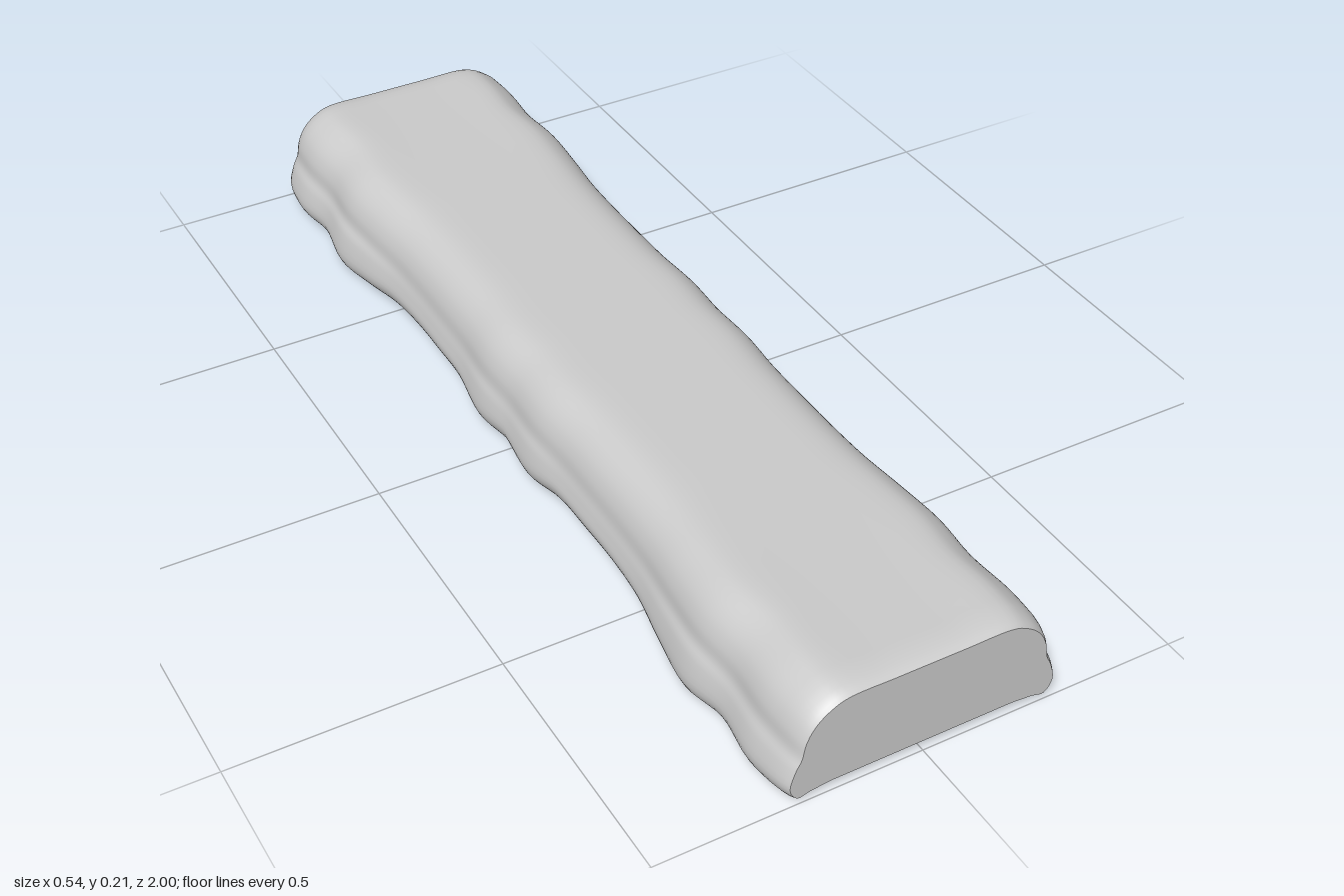
import * as THREE from 'three';

const BASE = 0.025; // height of the flat underside
const material = new THREE.MeshStandardMaterial({ color: 0xcccccc });

// Smooth lookup of values spaced evenly along |z| from 0 to 1
function along(values) {
  const curve = new THREE.SplineCurve(values.map((v, i) => new THREE.Vector2(i, v)));
  return z => curve.getPoint(Math.min(1, Math.abs(z))).y;
}
const lipReach = along([0.246, 0.252, 0.242, 0.24, 0.24, 0.245, 0.26, 0.271, 0.26, 0.27, 0.262]);
const lipHeight = along([0.02, 0.01, 0.024, 0.025, 0.025, 0.02, 0.01, 0.003, 0.014, 0.011, 0.016]);
const crest = along([0, 0, 0, 0, 0, 0, 0.001, 0.002, 0.003, 0.004, 0.002]);

// Cross-section from the right underside edge, over the top, to the left one
function section([z, sx, sy, lift = 0]) {
  const w = lipReach(z), l = lipHeight(z), s = 0.225 + (w - 0.24) * 0.65;
  const half = [
    [0.18, BASE], [w - 0.04, (l + BASE) / 2], [w - 0.015, l], [w, l + 0.027],
    [(w + s) / 2 + 0.003, 0.08], [s + 0.003, 0.105], [s - 0.003, 0.137], [s - 0.018, 0.168],
    [s - 0.045, 0.193], [s - 0.085, 0.206 + crest(z)], [0.07, 0.208],
  ];
  const mirrored = half.map(([x, y]) => [-x, y]).reverse();
  const points = [...half, [0, 0.208], ...mirrored].map(p => new THREE.Vector2(...p));
  return new THREE.SplineCurve(points).getPoints(88)
    .map(p => new THREE.Vector3(p.x * sx, BASE + (p.y - BASE) * sy + lift, z));
}

// Skin between consecutive cross-sections
function loft(rings) {
  const n = rings[0].length, index = [];
  for (let i = 0; i < rings.length - 1; i++) {
    for (let j = 0; j < n - 1; j++) {
      const a = i * n + j, c = a + n;
      index.push(a, c, a + 1, a + 1, c, c + 1);
    }
  }
  const geometry = new THREE.BufferGeometry().setFromPoints(rings.flat());
  geometry.setIndex(index);
  geometry.computeVertexNormals();
  return geometry;
}

// Flat end face filling a cross-section
function endCap(ring, back) {
  const shape = new THREE.Shape(ring.map(p => new THREE.Vector2(back ? -p.x : p.x, p.y)));
  const geometry = new THREE.ShapeGeometry(shape);
  if (back) geometry.rotateY(Math.PI);
  return geometry.translate(0, 0, ring[0].z);
}

export function createModel() {
  const group = new THREE.Group();
  const add = (name, geometry) => {
    const mesh = new THREE.Mesh(geometry, material);
    mesh.name = name;
    group.add(mesh);
  };

  // Stations: z, width scale, height scale, lift
  const stations = [[1, 0.965, 0.94], [0.993, 0.98, 0.965], [0.98, 0.993, 0.985]];
  for (let i = 0; i <= 96; i++) stations.push([0.96 - i * 0.02, 1, 1]);
  // Rounded back rim with a shallow recessed panel
  stations.push(
    [-0.978, 0.99, 0.985], [-0.99, 0.975, 0.96], [-0.997, 0.955, 0.925], [-1, 0.925, 0.88],
    [-0.998, 0.88, 0.78, 0.01], [-0.993, 0.84, 0.68, 0.02], [-0.99, 0.79, 0.6, 0.03],
  );
  const rings = stations.map(section);

  add('softShell', loft(rings));
  add('underside', loft(rings.map(r => [r[r.length - 1], r[0]])));
  add('frontFace', endCap(rings[0], false));
  add('backPanel', endCap(rings[rings.length - 1], true));
  return group;
}
